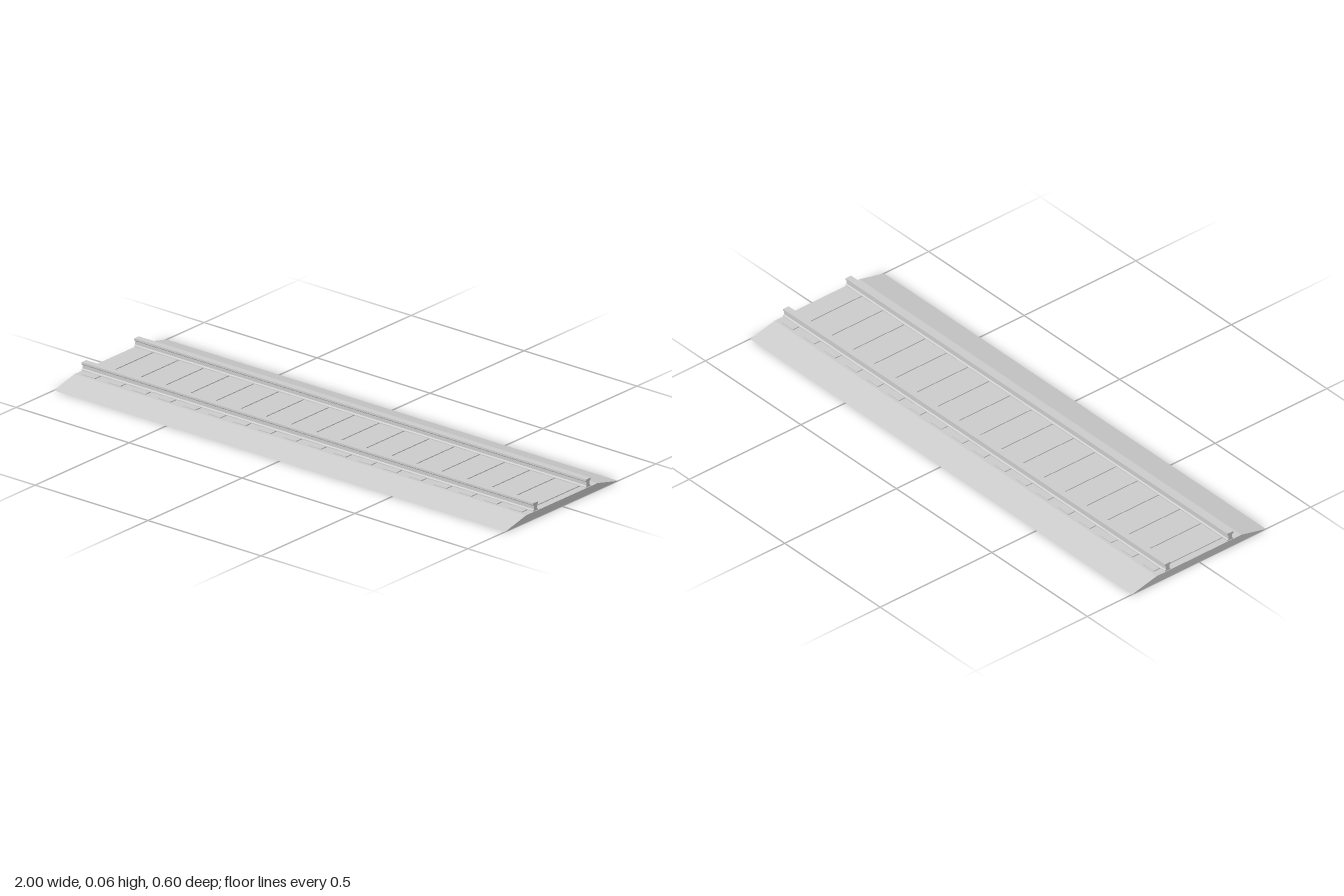
import * as THREE from 'three';

const LENGTH = 2;
const SLEEPERS = 18;

const material = new THREE.MeshStandardMaterial({ color: 0xcccccc, flatShading: true });

// Sweeps a (z, y) cross-section along the x axis, centred on x = 0
function sweep(name, points) {
  const shape = new THREE.Shape(points.map(([z, y]) => new THREE.Vector2(-z, y)));
  const geometry = new THREE.ExtrudeGeometry(shape, { depth: LENGTH, bevelEnabled: false });
  geometry.translate(0, 0, -LENGTH / 2).rotateY(Math.PI / 2);
  const mesh = new THREE.Mesh(geometry, material);
  mesh.name = name;
  return mesh;
}

export function createModel() {
  const track = new THREE.Group();
  track.name = 'railwayTrack';

  // Ballast bed with sloping shoulders
  track.add(sweep('ballastBed', [[-0.3, 0], [0.3, 0], [0.19, 0.026], [-0.19, 0.026]]));

  // Sleepers, slightly proud of the bed
  const sleepers = new THREE.Group();
  sleepers.name = 'sleepers';
  const sleeperGeometry = new THREE.BoxGeometry(0.056, 0.01, 0.36);
  const pitch = LENGTH / SLEEPERS;
  for (let i = 0; i < SLEEPERS; i++) {
    const sleeper = new THREE.Mesh(sleeperGeometry, material);
    sleeper.name = 'sleeper';
    sleeper.position.set(-LENGTH / 2 + (i + 0.5) * pitch, 0.024, 0);
    sleepers.add(sleeper);
  }
  track.add(sleepers);

  // Rails: half profile of foot, web and head, mirrored
  const half = [
    [0.0125, 0.028], [0.0125, 0.031], [0.0075, 0.0345],
    [0.0075, 0.047], [0.0115, 0.05], [0.0125, 0.051], [0.0125, 0.058],
  ];
  const profile = [...half, ...half.map(([z, y]) => [-z, y]).reverse()];
  for (const [name, z] of [['frontRail', 0.14], ['backRail', -0.14]]) {
    const rail = sweep(name, profile);
    rail.position.z = z;
    track.add(rail);
  }

  return track;
}
